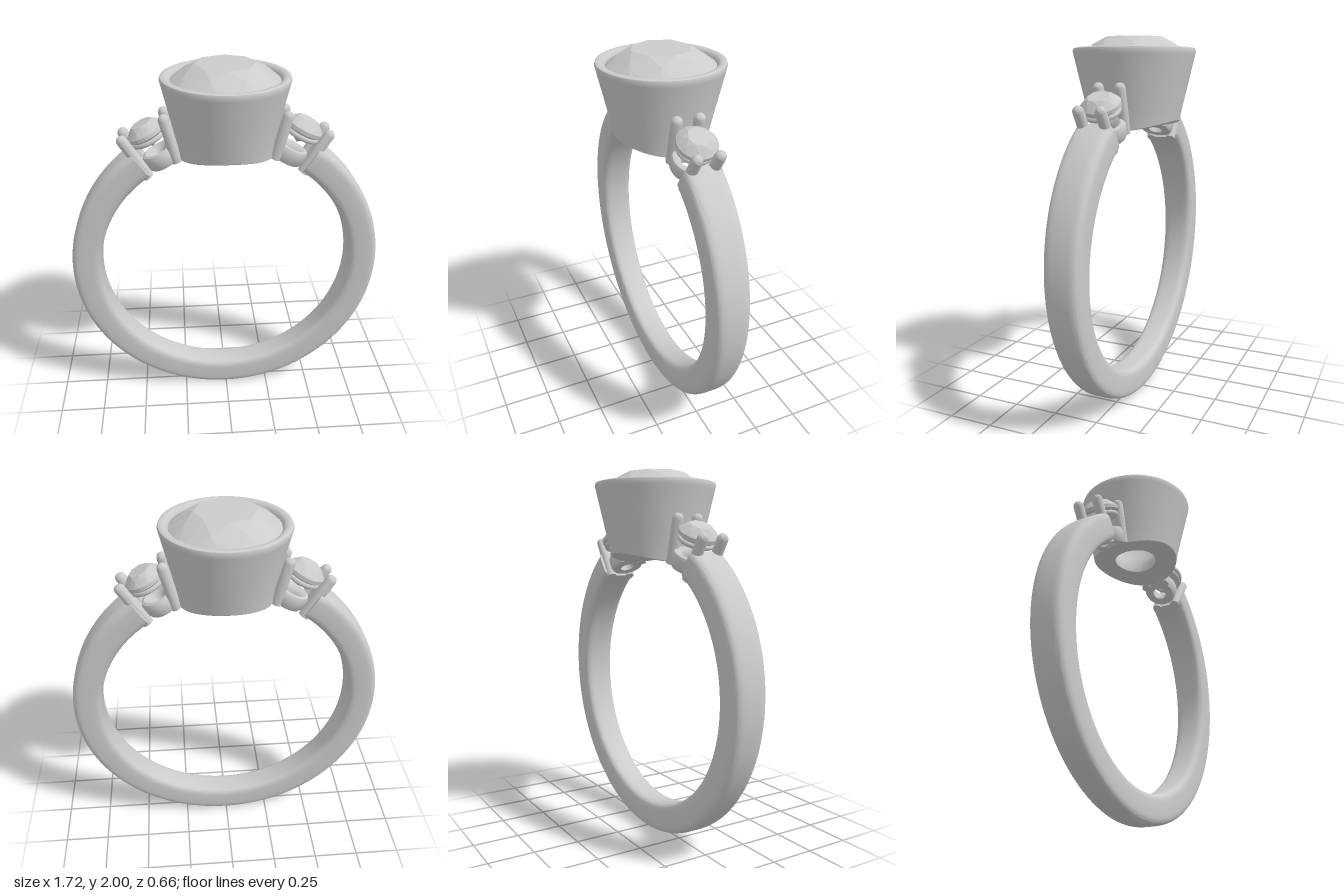
import * as THREE from 'three';
import { toCreasedNormals } from 'three/addons/utils/BufferGeometryUtils.js';
import { ConvexGeometry } from 'three/addons/geometries/ConvexGeometry.js';

const CY = 0.862, INNER = 0.697, OUTER = 0.86; // band centre height and radii
const metal = new THREE.MeshStandardMaterial({ color: 0xcccccc, side: THREE.DoubleSide });
const gem = new THREE.MeshStandardMaterial({ color: 0xcccccc, flatShading: true });

function addMesh(parent, name, geometry, material = metal) {
  const mesh = new THREE.Mesh(geometry, material);
  mesh.name = name;
  parent.add(mesh);
  return mesh;
}

function lathe(points, segments) {
  return new THREE.LatheGeometry(points.map(([r, y]) => new THREE.Vector2(r, y)), segments);
}

// Move every vertex by a rule, then shade it with sharp creases kept
function reshape(geometry, rule) {
  const p = geometry.attributes.position;
  const v = new THREE.Vector3();
  for (let i = 0; i < p.count; i++) {
    rule(v.fromBufferAttribute(p, i));
    p.setXYZ(i, v.x, v.y, v.z);
  }
  return toCreasedNormals(geometry, 0.7);
}

// Push vertices out of the finger hole
function clearFinger(v) {
  const r = Math.hypot(v.x, v.y - CY);
  if (r < INNER) {
    v.x *= INNER / r;
    v.y = CY + (v.y - CY) * INNER / r;
  }
}

// Open band: rounded sections swept round the finger, wider towards the top
function bandGeometry() {
  const steps = 120, sides = 40, start = THREE.MathUtils.degToRad(34.5);
  const pos = [], index = [];
  const round = t => Math.sign(t) * Math.pow(Math.abs(t), 0.45);
  for (let i = -1; i <= steps + 1; i++) {
    const k = THREE.MathUtils.clamp(i, 0, steps) / steps;
    const a = start + k * (2 * Math.PI - 2 * start);
    const size = i < 0 || i > steps ? 0 : 1; // closed ends
    const halfWidth = 0.092 + 0.014 * Math.cos(a);
    for (let j = 0; j < sides; j++) {
      const s = j / sides * 2 * Math.PI;
      const r = (INNER + OUTER) / 2 + size * (OUTER - INNER) / 2 * round(Math.cos(s));
      pos.push(r * Math.sin(a), CY + r * Math.cos(a), size * halfWidth * round(Math.sin(s)));
    }
  }
  for (let i = 0; i < steps + 2; i++) {
    for (let j = 0; j < sides; j++) {
      const a = i * sides + j, b = i * sides + (j + 1) % sides;
      index.push(a, b, a + sides, b, b + sides, a + sides);
    }
  }
  const g = new THREE.BufferGeometry();
  g.setAttribute('position', new THREE.Float32BufferAttribute(pos, 3));
  g.setIndex(index);
  return toCreasedNormals(g, 0.9);
}

// Round brilliant cut, girdle centred on the origin
function gemGeometry(radius, crown, pavilion, girdle) {
  const pts = [new THREE.Vector3(0, -pavilion, 0)];
  const ring = (n, r, y, turn) => {
    for (let i = 0; i < n; i++) {
      const a = (i + turn) / n * 2 * Math.PI;
      pts.push(new THREE.Vector3(r * Math.sin(a), y, r * Math.cos(a)));
    }
  };
  ring(8, radius * 0.56, crown, 0);
  ring(8, radius * 0.79, crown * 0.63, 0.5);
  ring(32, radius, girdle / 2, 0);
  ring(32, radius, -girdle / 2, 0);
  ring(8, radius * 0.45, -pavilion * 0.6, 0.5);
  return new ConvexGeometry(pts);
}

// Straight prong with a domed tip and a foot cut to the finger hole
function prongGeometry(base, tip, radius) {
  const dir = tip.clone().sub(base), length = dir.length();
  const profile = [[0, 0], [radius, 0], [radius, length - radius]];
  for (let i = 1; i <= 6; i++) {
    const a = i / 6 * Math.PI / 2;
    profile.push([radius * Math.cos(a), length - radius + radius * Math.sin(a)]);
  }
  const g = lathe(profile, 18);
  g.applyQuaternion(new THREE.Quaternion().setFromUnitVectors(
    new THREE.Vector3(0, 1, 0), dir.normalize()));
  g.translate(base.x, base.y, base.z);
  return reshape(g, clearFinger);
}

function sideSetting() {
  const setting = new THREE.Group();
  // Inner and outer pairs of prongs
  for (const z of [-0.06, 0.06]) {
    addMesh(setting, 'innerProng', prongGeometry(
      new THREE.Vector3(0.255, 1.51, z), new THREE.Vector3(0.322, 1.765, z), 0.029));
    addMesh(setting, 'outerProng', prongGeometry(
      new THREE.Vector3(0.4, 1.425, z), new THREE.Vector3(0.545, 1.655, z), 0.029));
  }
  // Tilted stone on its rail
  const head = new THREE.Group();
  head.name = 'sideStoneHead';
  head.position.set(0.41, 1.655, 0);
  head.rotation.z = -0.46;
  addMesh(head, 'sideStone', gemGeometry(0.104, 0.052, 0.085, 0.02), gem);
  const rail = addMesh(head, 'stoneRail', new THREE.TorusGeometry(0.085, 0.014, 10, 40));
  rail.rotation.x = Math.PI / 2;
  rail.position.y = -0.034;
  setting.add(head);
  // Lower gallery ring with a small hole
  const gallery = lathe([[0.04, -0.05], [0.085, -0.05], [0.094, -0.035], [0.098, 0.015],
    [0.09, 0.032], [0.075, 0.036], [0.055, 0.025], [0.04, 0], [0.04, -0.05]], 40);
  gallery.rotateZ(-0.46).translate(0.337, 1.53, 0);
  addMesh(setting, 'galleryRing', reshape(gallery, clearFinger));
  return setting;
}

export function createModel() {
  const ring = new THREE.Group();
  ring.name = 'ring';
  addMesh(ring, 'band', bandGeometry());

  // Tapered bezel cup, its underside following the finger hole
  const cup = lathe([[0.12, 1.56], [0.18, 1.56], [0.238, 1.56], [0.246, 1.566], [0.256, 1.61],
    [0.325, 1.905], [0.33, 1.925], [0.326, 1.938], [0.315, 1.943], [0.295, 1.94],
    [0.281, 1.928], [0.276, 1.91], [0.27, 1.87], [0.15, 1.66], [0.12, 1.6], [0.12, 1.56]], 80);
  addMesh(ring, 'bezel', reshape(cup, v => {
    const drop = CY + INNER - (CY + Math.sqrt(INNER * INNER - v.x * v.x));
    if (v.y < 1.605) v.y -= drop;
  }));

  const stone = addMesh(ring, 'centreStone', gemGeometry(0.277, 0.092, 0.28, 0.02), gem);
  stone.position.y = 1.908;

  // Matching side settings
  for (const side of ['left', 'right']) {
    const setting = sideSetting();
    setting.name = side + 'Setting';
    setting.rotation.y = side === 'left' ? 0 : Math.PI;
    ring.add(setting);
  }
  return ring;
}
